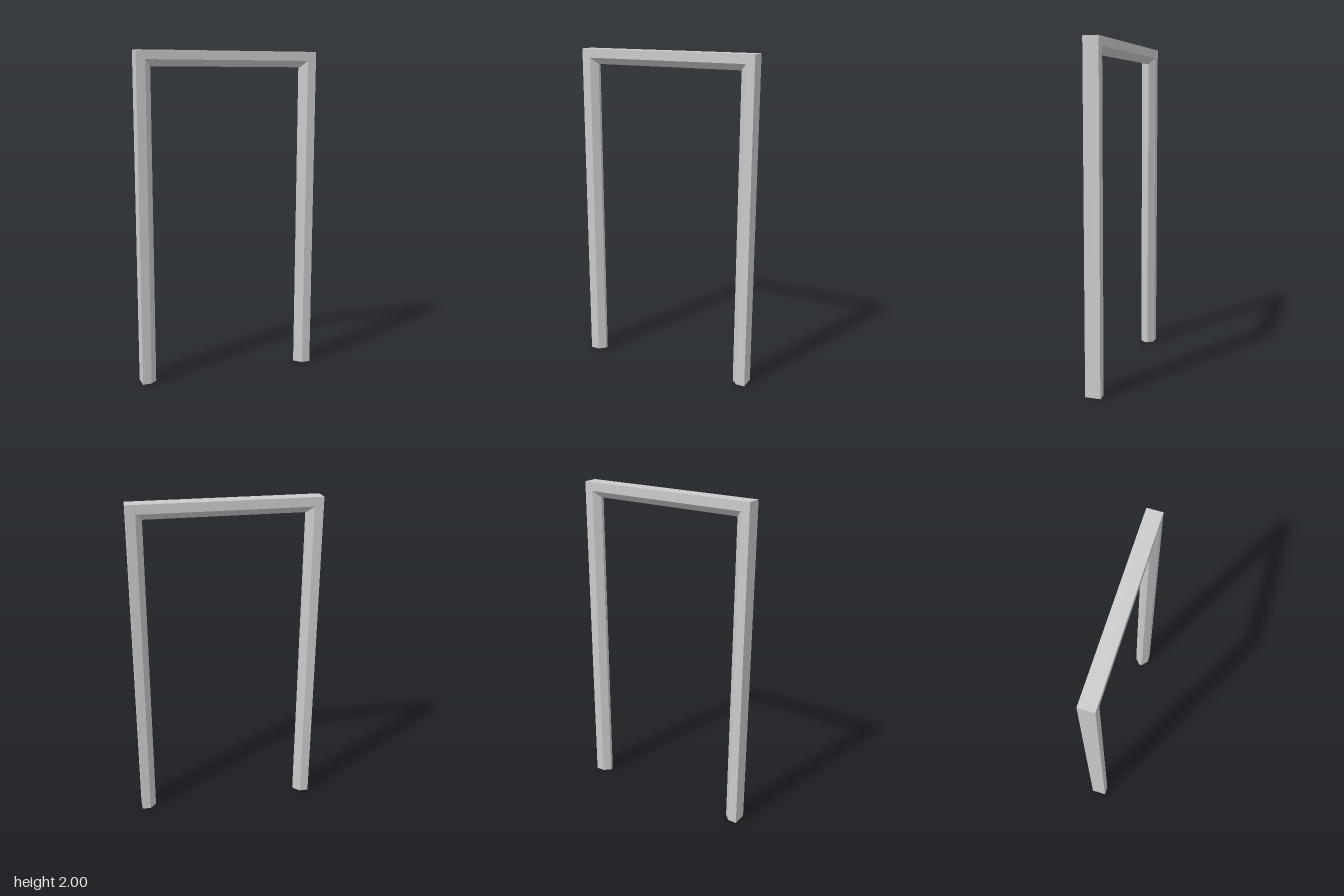
import * as THREE from 'three';

const HALF = 0.563, TOP = 2, DEPTH = 0.046; // outer half width, height, half thickness
const FLAT = 0.054, INNER = 0.092, LIP = 0.01; // chamfer start, inner face, its half thickness

// Cross-section: [distance in from the outer edge, z], both inner edges chamfered
const PROFILE = [
  [0, -DEPTH], [FLAT, -DEPTH], [INNER, -LIP],
  [INNER, LIP], [FLAT, DEPTH], [0, DEPTH],
];

// Section at each station: left foot, two mitred corners, right foot
const STATIONS = [[-1, 0], [-1, 1], [1, 1], [1, 0]].map(([side, up]) =>
  PROFILE.map(([d, z]) => [side * (HALF - d), up * (TOP - d), z]));

// One straight bar between two sections, with optional end caps
function bar(name, from, to, capStart, capEnd, material) {
  const pos = [];
  const tri = (...corners) => corners.forEach((p) => pos.push(...p));
  const n = from.length;
  for (let i = 0; i < n; i++) {
    const j = (i + 1) % n;
    tri(from[i], to[i], to[j]);
    tri(from[i], to[j], from[j]);
  }
  for (let i = 1; i < n - 1; i++) {
    if (capStart) tri(from[0], from[i], from[i + 1]);
    if (capEnd) tri(to[0], to[i + 1], to[i]);
  }
  const geometry = new THREE.BufferGeometry();
  geometry.setAttribute('position', new THREE.Float32BufferAttribute(pos, 3));
  geometry.computeVertexNormals();
  const mesh = new THREE.Mesh(geometry, material);
  mesh.name = name;
  return mesh;
}

export function createModel() {
  const group = new THREE.Group();
  group.name = 'doorFrame';
  const material = new THREE.MeshStandardMaterial({ color: 0xcccccc, flatShading: true });
  const [footA, cornerA, cornerB, footB] = STATIONS;

  // Two uprights and the lintel, meeting in mitred corners
  group.add(
    bar('rightJamb', footA, cornerA, true, false, material),
    bar('lintel', cornerA, cornerB, false, false, material),
    bar('leftJamb', cornerB, footB, false, true, material),
  );
  return group;
}
